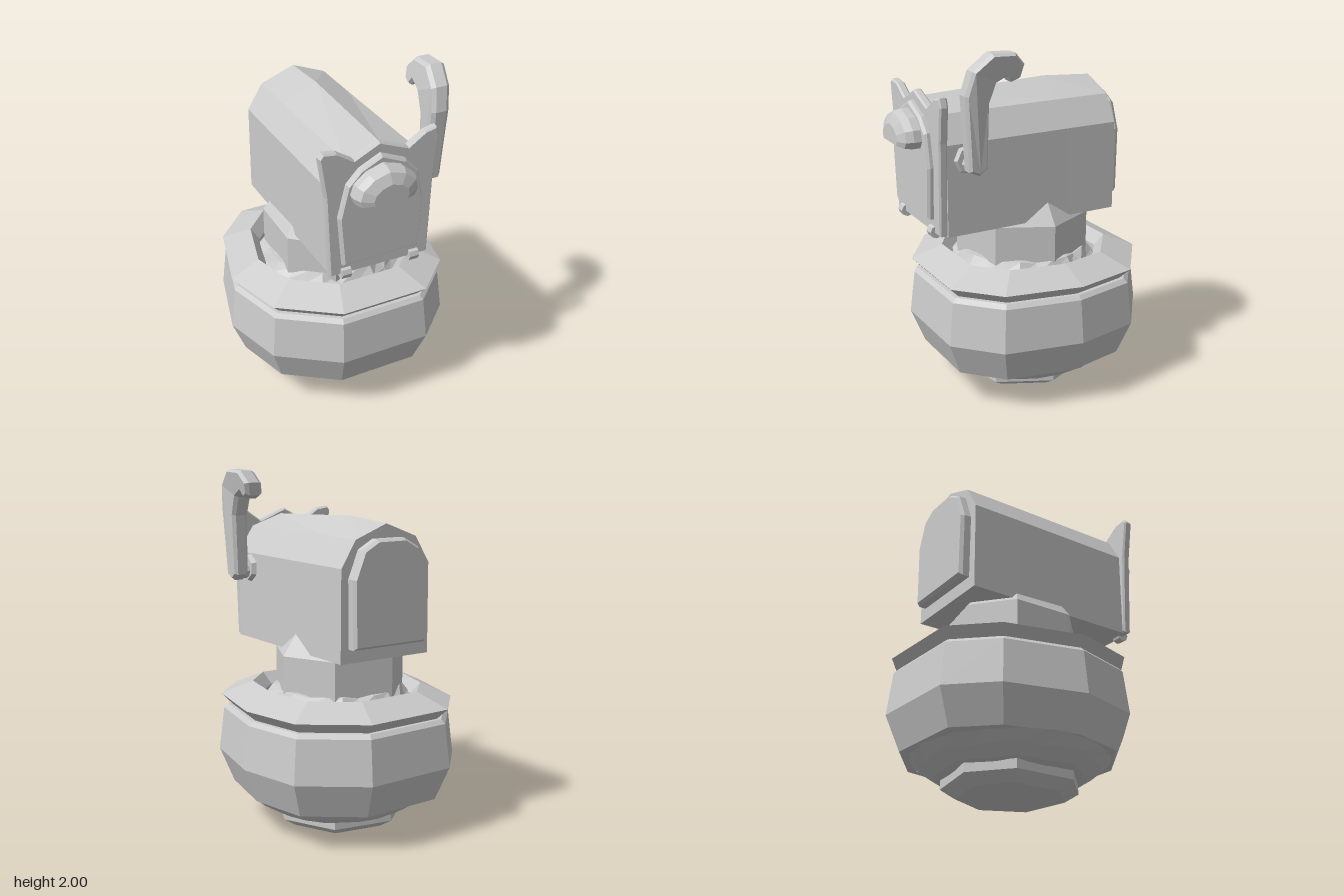
import * as THREE from 'three';

const mat = new THREE.MeshStandardMaterial({ color: 0xcccccc, flatShading: true, side: THREE.DoubleSide });

function add(parent, name, geometry) {
  const mesh = new THREE.Mesh(geometry, mat);
  mesh.name = name;
  parent.add(mesh);
  return mesh;
}

// Skin a list of rings (counter-clockwise seen from the far end), with optional end caps
function loft(rings, caps = true) {
  const pos = [], n = rings[0].length;
  const tri = (...pts) => pts.forEach((p) => pos.push(p.x, p.y, p.z));
  for (let r = 0; r < rings.length - 1; r++) {
    for (let i = 0; i < n; i++) {
      const j = (i + 1) % n, a = rings[r], b = rings[r + 1];
      tri(a[i], a[j], b[j]);
      tri(a[i], b[j], b[i]);
    }
  }
  if (caps) {
    const mid = (ring) => ring.reduce((s, p) => s.add(p), new THREE.Vector3()).divideScalar(n);
    const first = rings[0], last = rings[rings.length - 1], c0 = mid(first), c1 = mid(last);
    for (let i = 0; i < n; i++) {
      const j = (i + 1) % n;
      tri(c0, first[j], first[i]);
      tri(c1, last[i], last[j]);
    }
  }
  const g = new THREE.BufferGeometry();
  g.setAttribute('position', new THREE.Float32BufferAttribute(pos, 3));
  g.computeVertexNormals();
  return g;
}

// Plan outline scaled about the pot axis and placed at height y
const AXIS_Z = -0.07;
const planRing = (outline, scale, y) =>
  outline.map(([x, z]) => new THREE.Vector3(x * scale, y, AXIS_Z + (z - AXIS_Z) * scale));
const planLoft = (outline, profile, caps) => loft(profile.map(([s, y]) => planRing(outline, s, y)), caps);

// Front outline scaled about (cx, cy) and placed at depth z
const frontRing = (outline, scale, z, cx = -0.02, cy = 1.38) =>
  outline.map(([x, y]) => new THREE.Vector3(cx + (x - cx) * scale, cy + (y - cy) * scale, z));

const shapeOf = (points) => new THREE.Shape(points.map(([x, y]) => new THREE.Vector2(x, y)));

const potPlan = [
  [-0.2, 0.56], [0.33, 0.55], [0.555, 0.33], [0.635, -0.11], [0.55, -0.48],
  [0.22, -0.72], [-0.315, -0.7], [-0.53, -0.47], [-0.64, -0.025], [-0.53, 0.335],
];
const postPlan = [
  [-0.12, 0.29], [0.23, 0.22], [0.365, -0.08], [0.22, -0.37],
  [-0.12, -0.43], [-0.33, -0.25], [-0.33, 0.1],
];

// Uneven filling: rings whose height and radius ripple around the axis
function lumpy(profile) {
  const sides = 24;
  return loft(profile.map(([radius, y, bump], k) => {
    const ring = [];
    for (let i = 0; i < sides; i++) {
      const a = (i / sides) * Math.PI * 2;
      const wave = Math.abs(Math.sin(a * 4 + k * 0.4)) - 0.5;
      const r = radius * (1 + wave * bump);
      ring.push(new THREE.Vector3(Math.sin(a) * r, y + wave * bump * 0.25, AXIS_Z + Math.cos(a) * r));
    }
    return ring;
  }), false);
}

function buildPot() {
  const pot = new THREE.Group();
  pot.name = 'pot';
  add(pot, 'potBody', planLoft(potPlan,
    [[0.8, 0.2], [0.88, 0.205], [1, 0.4], [0.955, 0.645], [0.92, 0.668], [0.84, 0.668]], false));
  add(pot, 'potRim', planLoft(potPlan,
    [[0.84, 0.66], [0.885, 0.668], [0.975, 0.728], [0.71, 0.805], [0.63, 0.74], [0.63, 0.66]], false));
  add(pot, 'soil', lumpy([[0.44, 0.69, 0], [0.39, 0.74, 0.08], [0.35, 0.79, 0.1], [0.28, 0.8, 0.05]]));
  add(pot, 'potUnderside', lumpy([[0.3, 0.09, 0], [0.4, 0.1, 0.06], [0.48, 0.15, 0.08], [0.55, 0.21, 0.03]]));
  add(pot, 'foot', planLoft(postPlan, [[0.8, 0], [1.01, 0.05], [1.01, 0.12]]));
  add(pot, 'post', planLoft(postPlan, [[1, 0.7], [1, 0.995], [0.6, 1.2]]));
  return pot;
}

function buildMailbox() {
  const box = new THREE.Group();
  box.name = 'mailbox';

  // Body: gabled section with a slightly swayed ridge
  const stations = [[-0.505, -0.012, 1.735], [-0.2, -0.008, 1.755], [0.53, 0.008, 1.725]];
  add(box, 'boxBody', loft(stations.map(([z, dx, top]) => [
    [-0.288, 1.015], [0.288, 1.015], [0.285, 1.515], [0.195, 1.66], [0, top], [-0.195, 1.66], [-0.285, 1.515],
  ].map(([x, y]) => new THREE.Vector3(x + dx, y, z)))));

  // Back panel
  const back = [[-0.245, 1.09], [0.225, 1.09], [0.23, 1.46], [0.17, 1.61], [0.08, 1.66],
    [-0.1, 1.66], [-0.19, 1.61], [-0.25, 1.46]];
  add(box, 'backPanel', loft([frontRing(back, 0.95, -0.565), frontRing(back, 1, -0.545), frontRing(back, 1, -0.49)]));

  // Front plate with two pointed ears
  const plate = add(box, 'frontPlate', new THREE.ExtrudeGeometry(shapeOf([
    [-0.293, 1.02], [0.285, 1.02], [0.3, 1.53], [0.32, 1.72], [0.305, 1.77], [0.24, 1.755], [0.145, 1.69],
    [-0.02, 1.755], [-0.16, 1.685], [-0.255, 1.745], [-0.33, 1.755], [-0.35, 1.73], [-0.315, 1.5],
  ]), { depth: 0.03, bevelThickness: 0.01, bevelSize: 0.008, bevelOffset: -0.008, bevelSegments: 1 }));
  plate.position.z = 0.535;

  // Door with a stepped edge
  const door = [[-0.23, 1.09], [0.21, 1.1], [0.225, 1.385], [0.19, 1.565], [0.12, 1.64],
    [-0.02, 1.7], [-0.14, 1.64], [-0.21, 1.565], [-0.255, 1.38]];
  add(box, 'door', loft([frontRing(door, 1, 0.56), frontRing(door, 1, 0.593), frontRing(door, 0.955, 0.608)]));

  // Domed door handle
  const handle = [[-0.185, 1.475], [0.135, 1.475], [0.16, 1.515], [0.145, 1.575], [0.08, 1.63],
    [-0.02, 1.66], [-0.115, 1.63], [-0.18, 1.575], [-0.2, 1.515]];
  add(box, 'doorHandle', loft([[1, 0.59], [1, 0.65], [0.9, 0.69], [0.55, 0.716]]
    .map(([s, z]) => frontRing(handle, s, z, -0.02, 1.5))));

  // Hinges below the door
  for (const x of [-0.205, 0.195]) {
    const hinge = add(box, 'hinge', new THREE.CylinderGeometry(0.036, 0.036, 0.055, 8));
    hinge.rotation.z = Math.PI / 2;
    hinge.position.set(x, 1.03, 0.565);
  }
  return box;
}

function buildFlag() {
  const flag = new THREE.Group();
  flag.name = 'flag';

  const washer = add(flag, 'flagWasher', new THREE.CylinderGeometry(0.07, 0.085, 0.03, 7));
  washer.rotation.z = -Math.PI / 2;
  washer.position.set(0.3, 1.43, 0.41);
  const peg = add(flag, 'flagPeg', new THREE.CylinderGeometry(0.045, 0.045, 0.1, 8));
  peg.rotation.z = -Math.PI / 2;
  peg.position.set(0.35, 1.415, 0.41);

  // Hooked arm, drawn in side view as [z, y]
  const side = [[0.395, 1.365], [0.35, 1.4], [0.345, 1.74], [0.305, 1.845], [0.245, 1.875], [0.22, 1.84],
    [0.17, 1.86], [0.155, 1.93], [0.215, 1.995], [0.345, 2], [0.445, 1.915], [0.48, 1.79], [0.455, 1.39]];
  const arm = new THREE.ExtrudeGeometry(shapeOf(side.map(([z, y]) => [-z, y])),
    { depth: 0.6, bevelThickness: 0.2, bevelSize: 0.014, bevelOffset: -0.014, bevelSegments: 1 });
  arm.translate(0, 0, 0.2).rotateY(Math.PI / 2);
  // Widen the arm towards the top and lean the tip outwards
  const p = arm.attributes.position;
  for (let i = 0; i < p.count; i++) {
    const y = p.getY(i);
    p.setX(i, 0.333 + p.getX(i) * (0.085 + 0.04 * (y - 1.4)) + Math.max(0, y - 1.85) * 0.2);
  }
  arm.computeVertexNormals();
  add(flag, 'flagArm', arm);
  return flag;
}

export function createModel() {
  const model = new THREE.Group();
  model.name = 'pottedMailbox';
  model.add(buildPot(), buildMailbox(), buildFlag());
  return model;
}
